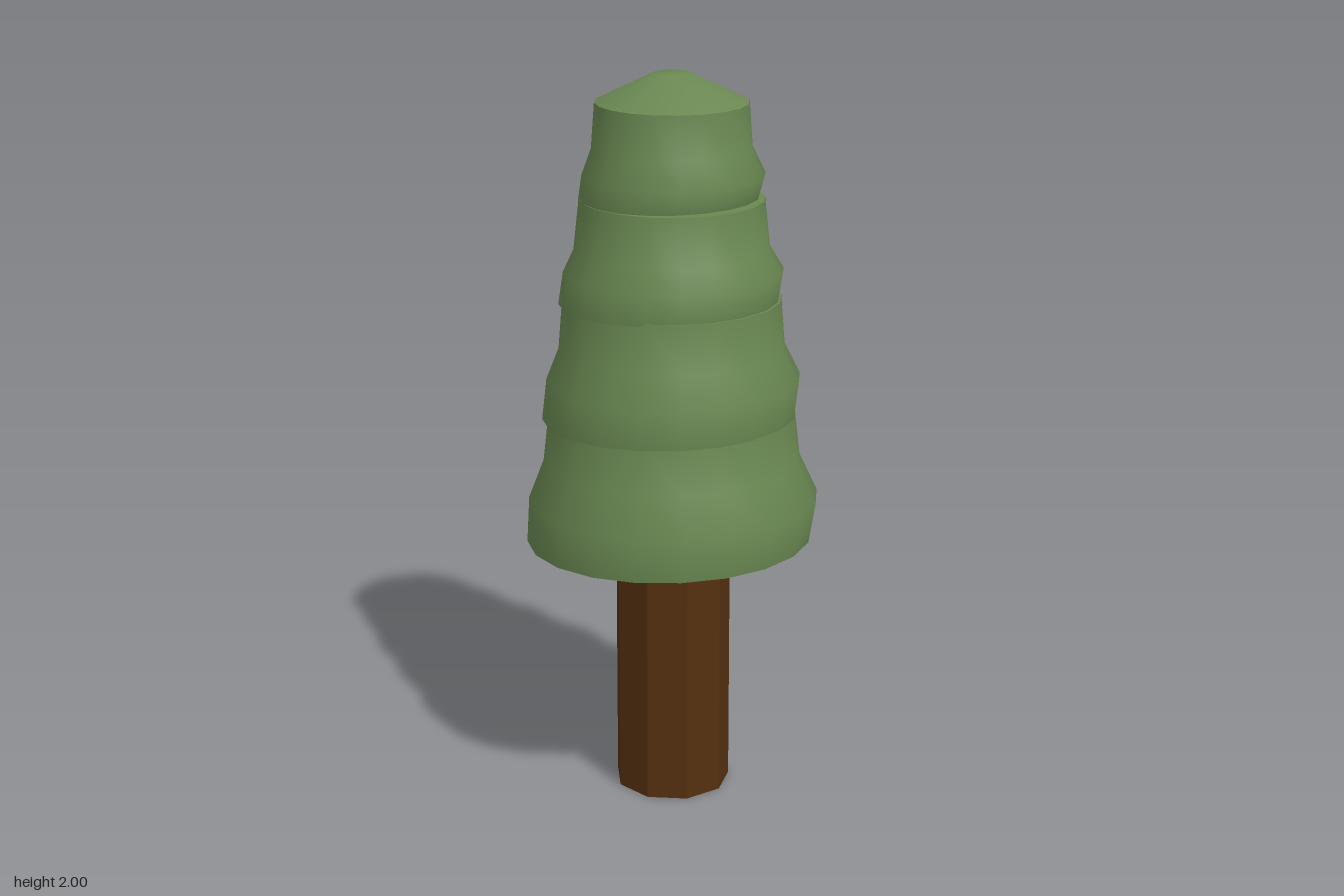
import * as THREE from 'three';
import { toCreasedNormals } from 'three/addons/utils/BufferGeometryUtils.js';

const leafMaterial = new THREE.MeshStandardMaterial({ color: 0x6a8852 });
const barkMaterial = new THREE.MeshStandardMaterial({ color: 0x55300f });

// Closed bell-shaped foliage tier. Rings are [radius, height]; the hem is
// tilted and shifted to the back left, the widest ring slightly to the front right.
function makeTier(name, rings) {
  const points = rings.map(([r, y]) => new THREE.Vector2(r, y));
  points.unshift(new THREE.Vector2(0, rings[0][1]));
  points.push(new THREE.Vector2(0, rings[rings.length - 1][1]));
  const geometry = new THREE.LatheGeometry(points, 20);
  const pos = geometry.attributes.position;
  for (let i = 0; i < pos.count; i++) {
    const row = i % points.length;
    const x = pos.getX(i), y = pos.getY(i), z = pos.getZ(i);
    if (row <= 1) pos.setXYZ(i, x - 0.008, y + 0.019 * x + 0.016 * z, z - 0.005);
    else if (row === 2) pos.setXYZ(i, x + 0.004, y, z + 0.003);
  }
  const mesh = new THREE.Mesh(toCreasedNormals(geometry, 0.9), leafMaterial);
  mesh.name = name;
  return mesh;
}

export function createModel() {
  const tree = new THREE.Group();
  tree.name = 'tree';

  // Nine-sided trunk with a corner towards +x, reaching into the foliage
  const barkGeometry = new THREE.CylinderGeometry(0.16, 0.16, 0.8, 9, 1, false, Math.PI / 2);
  barkGeometry.scale(1, 1, 1.03);
  barkGeometry.translate(0, 0.4, 0.004);
  const trunk = new THREE.Mesh(toCreasedNormals(barkGeometry, 0.3), barkMaterial);
  trunk.name = 'trunk';
  tree.add(trunk);

  // Foliage tiers: hem, widest ring, shoulder, neck
  tree.add(
    makeTier('lowestFoliage', [[0.39, 0.722], [0.395, 0.845], [0.35, 0.95], [0.335, 1.08]]),
    makeTier('lowerFoliage', [[0.344, 1.07], [0.343, 1.18], [0.305, 1.265], [0.294, 1.4]]),
    makeTier('upperFoliage', [[0.296, 1.39], [0.295, 1.475], [0.262, 1.535], [0.247, 1.67]]),
    // The top tier ends in a blunt cone
    makeTier('topFoliage', [[0.24, 1.67], [0.243, 1.735], [0.213, 1.805], [0.204, 1.925], [0.05, 2]])
  );
  return tree;
}
